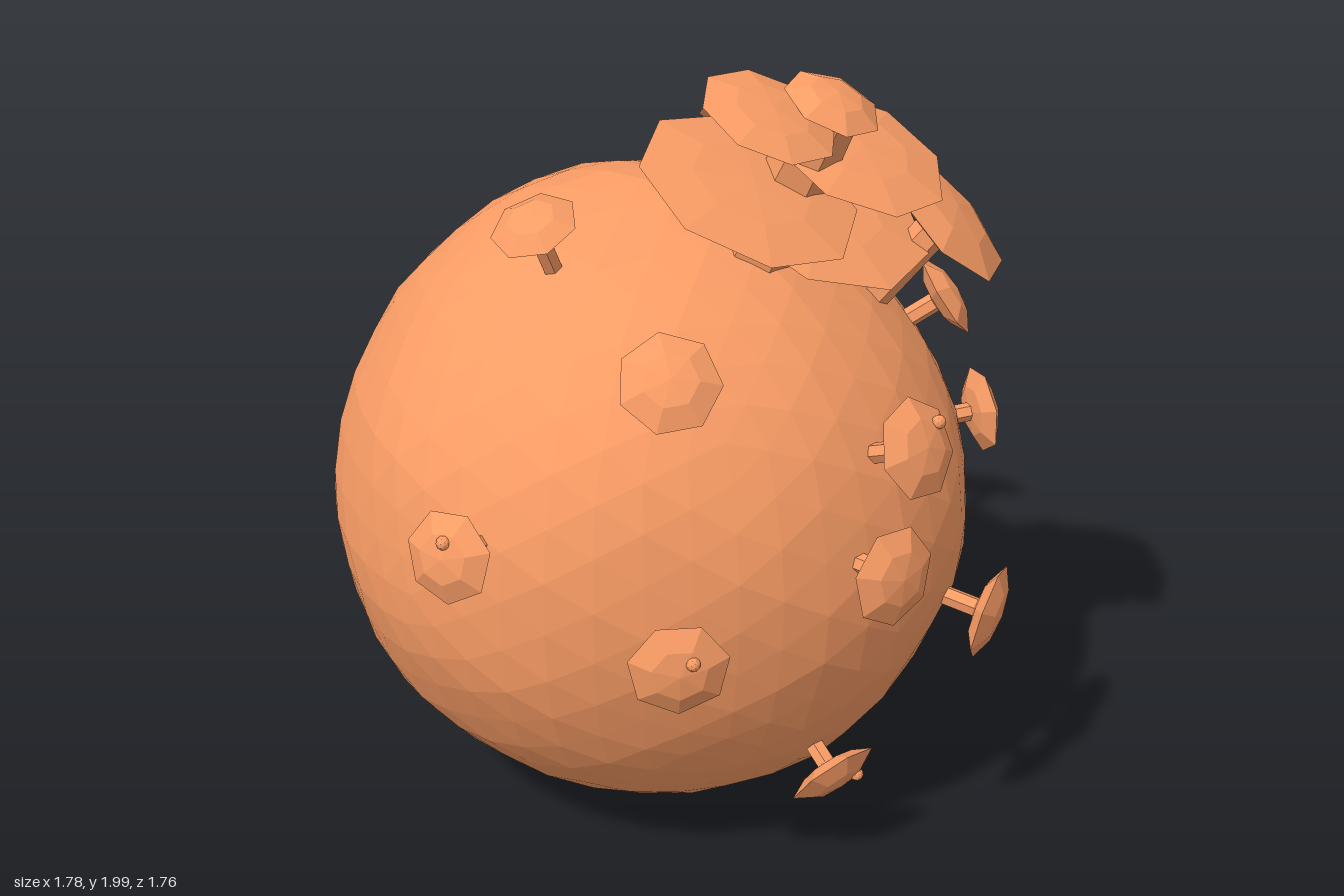
import * as THREE from 'three';

const UP = new THREE.Vector3(0, 1, 0);
const CENTER = new THREE.Vector3(-0.09, 0.82, -0.08);
const V = (a) => new THREE.Vector3(...a);

export function createModel() {
  const group = new THREE.Group();
  const mat = new THREE.MeshStandardMaterial({ color: 0xf99c65, flatShading: true });

  const add = (geometry, name, position) => {
    const mesh = new THREE.Mesh(geometry, mat);
    mesh.name = name;
    mesh.position.copy(position);
    group.add(mesh);
    return mesh;
  };

  // thin faceted lens facing along n, spun about its own axis
  const cap = (name, pos, n, radius, half, spin, sides = 7) => {
    const profile = [[0, -half], [radius * 0.6, -half * 0.7], [radius, 0], [radius * 0.55, half * 0.75], [0, half]];
    const g = new THREE.LatheGeometry(profile.map((q) => new THREE.Vector2(...q)), sides).rotateY(spin);
    add(g, name, pos).quaternion.setFromUnitVectors(UP, n);
  };

  // straight stalk from a to b
  const stalk = (name, a, b, bottom, top = bottom) => {
    const d = b.clone().sub(a);
    const mesh = add(new THREE.CylinderGeometry(top, bottom, d.length(), 6), name,
      a.clone().add(b).multiplyScalar(0.5));
    mesh.quaternion.setFromUnitVectors(UP, d.normalize());
  };

  // lumpy ball: direction, amount and tightness of broad bumps and dents
  const bumps = [
    [[-0.1, 0.93, -0.3], 0.025, 6], [[-0.3, 0.35, -0.88], 0.018, 8], [[0, -0.5, -0.86], 0.02, 10],
    [[0, -0.83, -0.56], -0.045, 10], [[-0.66, 0.75, 0], -0.015, 8], [[0.57, -0.82, 0], -0.025, 10],
    [[0.05, -1, 0.05], 0.025, 12], [[0.7, 0, 0.7], 0.05, 6], [[-0.65, 0.1, 0.7], 0.025, 8],
    [[0.1, 0.62, 0.75], 0.03, 8], [[0.3, -0.75, 0.5], 0.035, 10],
  ].map(([d, amount, k]) => [V(d).normalize(), amount, k]);
  const ball = new THREE.IcosahedronGeometry(1, 7);
  const p = ball.attributes.position;
  const v = new THREE.Vector3();
  for (let i = 0; i < p.count; i++) {
    v.fromBufferAttribute(p, i).normalize();
    let r = 0.793 + 0.005 * Math.sin(7 * v.x + 3 * v.y) * Math.cos(6 * v.z - 4 * v.y)
      + 0.004 * Math.sin(13 * v.y + 5 * v.z + 1) * Math.cos(12 * v.x - 7 * v.z);
    for (const [d, amount, k] of bumps) r += amount * Math.exp(k * (v.dot(d) - 1));
    p.setXYZ(i, v.x * r, v.y * r, v.z * r);
  }
  ball.computeVertexNormals();
  add(ball, 'body', CENTER);

  // small stalked caps: centre, radius, optional offset of the bead on top
  const sprouts = [
    [[-0.42, 1.65, 0.2], 0.105],
    [[-0.23, 1.43, 0.65], 0.118],
    [[0.34, 1.21, 0.69], 0.12, [0.05, 0.04, -0.04]],
    [[0.26, 0.94, 0.78], 0.12],
    [[-0.26, 0.81, 0.82], 0.118, [0.03, 0.03, 0]],
    [[-0.72, 1.04, 0.58], 0.11, [0, 0.04, 0]],
    [[0.63, 0.63, 0.51], 0.125],
    [[0.2, 0.29, 0.6], 0.118, [0.05, 0.01, 0]],
    [[0.85, 0.88, -0.09], 0.118, [0, 0.04, -0.03]],
    [[0.63, 1.33, 0.14], 0.11],
    [[0.27, 1.64, -0.41], 0.12, [0.06, 0, -0.02]],
    [[0.48, 1.45, -0.47], 0.108, [-0.06, 0.03, 0.05]],
  ];
  sprouts.forEach(([c, radius, bead], i) => {
    const pos = V(c);
    const n = pos.clone().sub(CENTER).normalize();
    stalk('sproutStalk', CENTER.clone().addScaledVector(n, 0.72), pos, 0.025);
    cap('sproutCap', pos, n, radius, 0.036, i * 1.3);
    if (bead) {
      const offset = V(bead).projectOnPlane(n).addScaledVector(n, 0.028);
      add(new THREE.IcosahedronGeometry(0.017, 1), 'bead', pos.clone().add(offset));
    }
  });

  // large sprout leaning beside the tower
  const sideTop = V([0.58, 1.58, 0.23]);
  stalk('sideStalk', V([0.42, 1.36, 0.16]), sideTop, 0.045);
  cap('sideCap', sideTop, V([0.6, 0.72, 0.35]).normalize(), 0.2, 0.04, 0.5);

  // tower: thick stem with alternating shelves and a crowning cap
  const axis = V([0.26, 0.895, 0.36]).normalize();
  const along = (d) => CENTER.clone().addScaledVector(axis, d);
  stalk('towerStem', along(0.7), along(1.22), 0.095, 0.072);
  const shelves = [
    [[0.28, 1.605, 0.17], 0.285, 0.4],
    [[0.05, 1.74, 0.34], 0.27, 1.5],
    [[0.33, 1.78, 0.28], 0.225, 2.5],
    [[0.07, 1.93, 0.41], 0.165, 3.2],
  ];
  for (const [c, radius, spin] of shelves) cap('towerShelf', V(c), axis, radius, 0.026, spin, 8);
  cap('towerCap', along(1.24), axis, 0.118, 0.035, 0.9);

  return group;
}
